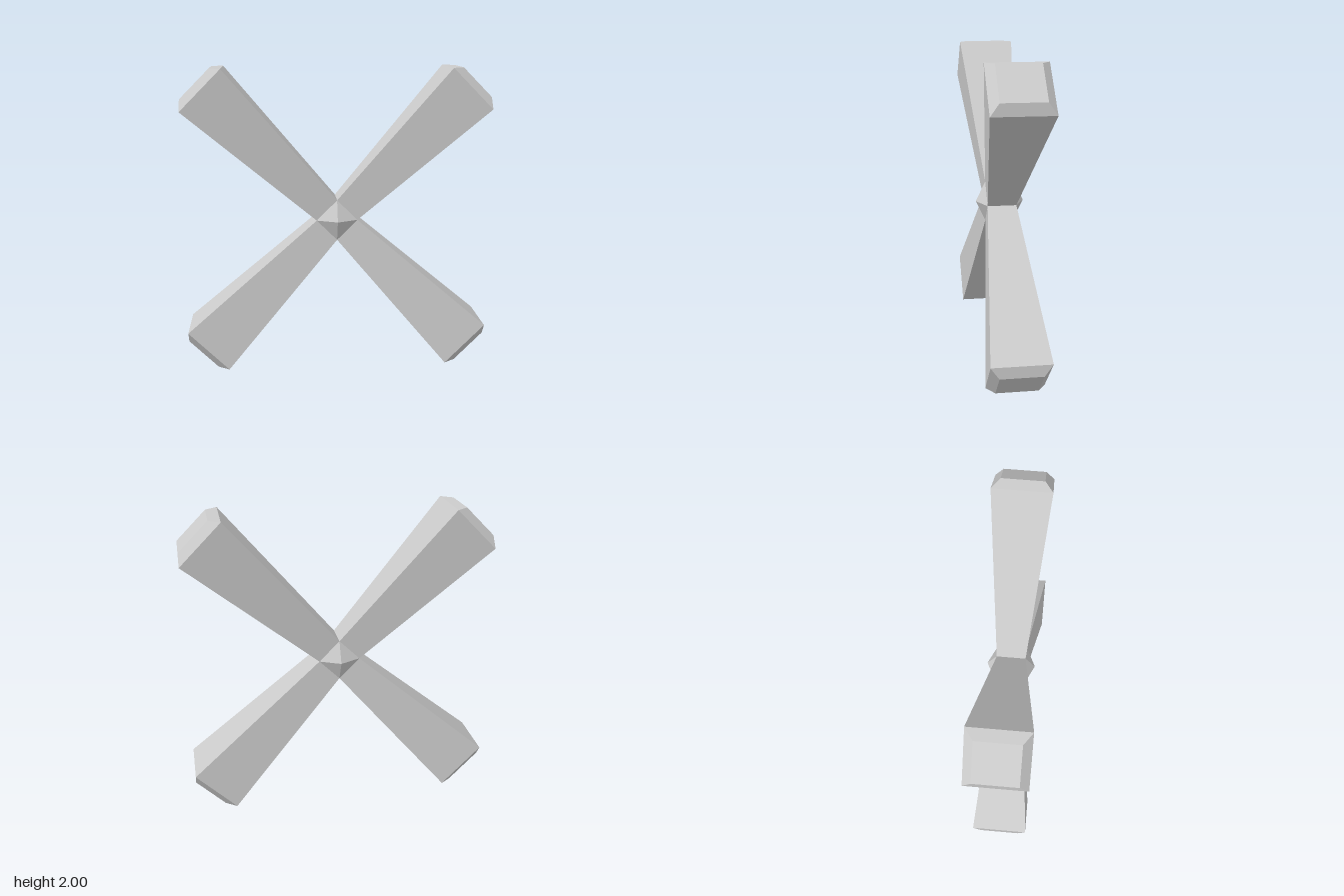
import * as THREE from 'three';

const material = new THREE.MeshStandardMaterial({ color: 0xcccccc, flatShading: true });

// Square frustum along +y, given corner radii and the heights of both ends
function frustum(name, rBottom, rTop, y0, y1, open) {
  const geometry = new THREE.CylinderGeometry(rTop, rBottom, y1 - y0, 4, 1, open);
  geometry.rotateY(Math.PI / 4);
  geometry.translate(0, (y0 + y1) / 2, 0);
  const mesh = new THREE.Mesh(geometry, material);
  mesh.name = name;
  return mesh;
}

export function createModel() {
  const model = new THREE.Group();
  model.name = 'cross';

  const hubRadius = 0.135, endRadius = 0.265, tipRadius = 0.19;
  const hubHalf = hubRadius / Math.SQRT2;
  const armEnd = (1 - endRadius / 2) * Math.SQRT2;
  const tipEnd = (1 - tipRadius / 2) * Math.SQRT2;

  // Four flared arms with bevelled ends, set diagonally
  for (let i = 0; i < 4; i++) {
    const arm = new THREE.Group();
    arm.name = 'arm';
    arm.add(
      frustum('armShaft', hubRadius, endRadius, hubHalf, armEnd, true),
      frustum('armTip', endRadius, tipRadius, armEnd, tipEnd, false)
    );
    arm.rotation.z = Math.PI / 4 + (i * Math.PI) / 2;
    arm.position.y = 1;
    model.add(arm);
  }

  // Low pyramids closing the hub at front and back
  const height = 0.16 - hubHalf;
  for (const side of [1, -1]) {
    const geometry = new THREE.ConeGeometry(hubRadius, height, 4, 1, true);
    geometry.rotateX((side * Math.PI) / 2);
    const pyramid = new THREE.Mesh(geometry, material);
    pyramid.name = side > 0 ? 'frontHubPyramid' : 'backHubPyramid';
    pyramid.position.set(0, 1, side * (hubHalf + height / 2));
    model.add(pyramid);
  }
  return model;
}
